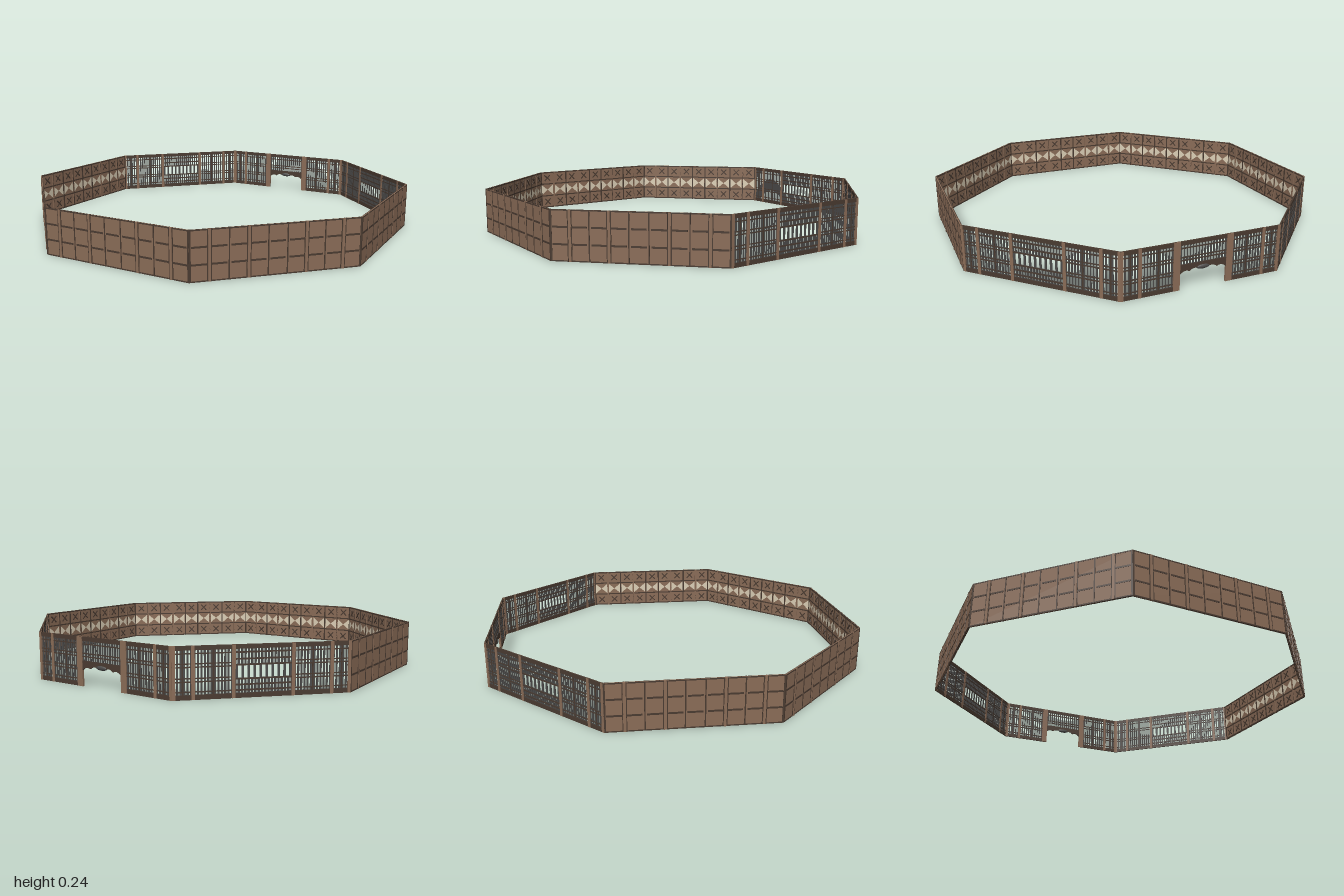
import * as THREE from 'three';
import { mergeGeometries } from 'three/addons/utils/BufferGeometryUtils.js';

const APOTHEM = 0.99, HALF = 0.411, H = 0.24, N = 9, CELL = (2 * HALF) / N, ROW = H / 3;
const POSTS = [-0.319, -0.137, 0.137, 0.319];
const mat = (color, side = THREE.FrontSide) => new THREE.MeshStandardMaterial({ color, side });
const brown = mat(0x8a6c57), dark = mat(0x4a3b31), iron = mat(0x4b4a49), cream = mat(0xdccfb6, THREE.DoubleSide);

// box centred at (x, y, z); the wall plane is z = 0 and outside is +z
function box(w, h, d, x, y, z = 0, turn = 0) {
  return new THREE.BoxGeometry(w, h, d).rotateZ(turn).translate(x, y, z);
}

function add(group, name, material, geometries) {
  const mesh = new THREE.Mesh(mergeGeometries(geometries), material);
  mesh.name = name;
  group.add(mesh);
}

// panel border positions, left to right
const borders = Array.from({ length: N + 1 }, (_, i) => -HALF + i * CELL);
const centres = borders.slice(0, N).map((x) => x + CELL / 2);

function triangle(a, b, c) {
  const g = new THREE.BufferGeometry();
  g.setAttribute('position', new THREE.Float32BufferAttribute([...a, ...b, ...c], 3));
  g.computeVertexNormals();
  return g;
}

function solidWall() {
  const wall = new THREE.Group();
  wall.name = 'solidWall';
  add(wall, 'panel', brown, [box(2 * HALF, H, 0.005, 0, H / 2)]);

  // outside: seams, short rails and slim posts
  const trim = [], inner = [], crosses = [], bows = [];
  for (const x of borders.slice(1, N)) trim.push(box(0.006, H, 0.002, x, H / 2, 0.003));
  for (const x of centres) {
    for (const y of [ROW, 2 * ROW]) trim.push(box(CELL * 0.78, 0.009, 0.002, x, y, 0.003));
  }
  for (const y of [0.003, H - 0.003]) trim.push(box(2 * HALF, 0.006, 0.007, 0, y));
  for (const s of [-1, 1]) trim.push(box(0.008, H, 0.007, s * (HALF - 0.004), H / 2));
  for (const x of POSTS) {
    for (const s of [-1, 1]) trim.push(box(0.004, H, 0.003, x + s * 0.009, H / 2, 0.003));
  }
  add(wall, 'outerTrim', dark, trim);
  add(wall, 'post', brown, POSTS.map((x) => box(0.012, H, 0.012, x, H / 2)));

  // inside: grid, crossed braces above and below, pale bow ties in the middle row
  for (const x of borders) inner.push(box(0.008, H, 0.004, x, H / 2, -0.004));
  for (const y of [0.004, ROW, 2 * ROW, H - 0.004]) inner.push(box(2 * HALF, 0.007, 0.004, 0, y, -0.004));
  for (const x of centres) {
    for (const y of [ROW / 2, H - ROW / 2]) {
      for (const t of [-1, 1]) crosses.push(box(0.055, 0.007, 0.003, x, y, -0.0035, t * Math.PI / 4));
    }
    for (const s of [-1, 1]) {
      const e = x + s * (CELL / 2 - 0.005);
      const corners = [[e, ROW + 0.006, -0.0035], [e, 2 * ROW - 0.006, -0.0035], [x, ROW * 1.5, -0.0045]];
      bows.push(triangle(...(s > 0 ? corners : [corners[1], corners[0], corners[2]])));
    }
  }
  add(wall, 'innerGrid', dark, inner);
  add(wall, 'crossBrace', dark, crosses);
  add(wall, 'bowTieInlay', cream, bows);
  return wall;
}

// bars filling x0..x1, y0..y1
function bars(x0, x1, y0, y1, step, width) {
  const n = Math.round((x1 - x0) / step), out = [];
  for (let i = 0; i < n; i++) {
    out.push(box(width, y1 - y0, 0.004, x0 + ((i + 0.5) * (x1 - x0)) / n, (y0 + y1) / 2));
  }
  return out;
}

function latticeWall(gate) {
  const wall = new THREE.Group();
  wall.name = gate ? 'gateWall' : 'latticeWall';
  const rails = [], grille = [], slim = [], open = 0.12;

  // side bays
  for (const s of [-1, 1]) {
    for (const [a, b] of [[0.137, 0.319], [0.319, HALF]]) {
      const [x0, x1] = s > 0 ? [a, b] : [-b, -a];
      grille.push(...bars(x0, x1, 0.02, 0.222, 0.0152, 0.0085));
      slim.push(box(0.007, H, 0.006, (x0 + x1) / 2, H / 2));
      for (const y of [0.035, 0.08, 0.095, 0.145, 0.16, 0.205]) {
        slim.push(box(x1 - x0, 0.005, 0.006, (x0 + x1) / 2, y));
      }
    }
    if (gate) rails.push(box(HALF - open, 0.022, 0.007, s * (HALF + open) / 2, 0.011));
  }
  rails.push(box(2 * HALF, 0.02, 0.007, 0, H - 0.01));

  // middle bay
  if (gate) {
    grille.push(...bars(-0.137, 0.137, 0.11, 0.222, 0.0152, 0.0085));
    for (const y of [0.145, 0.16, 0.205]) slim.push(box(0.274, 0.005, 0.006, 0, y));
  } else {
    rails.push(box(2 * HALF, 0.022, 0.007, 0, 0.011));
    grille.push(...bars(-0.137, 0.137, 0.02, 0.09, 0.0152, 0.0095));
    grille.push(...bars(-0.137, 0.137, 0.145, 0.222, 0.0152, 0.0095));
    grille.push(...bars(-0.137, 0.137, 0.09, 0.145, 0.0274, 0.011));
    for (const y of [0.035, 0.06, 0.086, 0.149, 0.175, 0.205]) slim.push(box(0.274, 0.007, 0.006, 0, y));
  }
  add(wall, 'rail', dark, rails);
  add(wall, 'grilleBar', iron, grille);
  add(wall, 'crossBar', dark, slim);
  add(wall, 'post', brown, POSTS.map((x) => box(gate && Math.abs(x) < 0.2 ? 0.034 : 0.016, H, 0.01, x, H / 2)));
  add(wall, 'endPost', brown, [-1, 1].map((s) => box(0.014, H, 0.008, s * (HALF - 0.007), H / 2)));

  if (gate) {
    // scalloped lintel over the opening
    const shape = new THREE.Shape();
    shape.moveTo(-open, 0.125);
    shape.lineTo(-open, 0.078);
    const lobes = 5, w = (2 * open) / lobes, lift = [0.078, 0.088, 0.094, 0.094, 0.088, 0.078];
    for (let i = 0; i < lobes; i++) {
      const x = -open + i * w;
      shape.quadraticCurveTo(x + w / 2, Math.max(lift[i], lift[i + 1]) + 0.014, x + w, lift[i + 1]);
    }
    shape.lineTo(open, 0.125);
    const lintel = new THREE.ExtrudeGeometry(shape, { depth: 0.007, bevelEnabled: false, curveSegments: 6 });
    add(wall, 'scallopedLintel', dark, [lintel.translate(0, 0, -0.0035)]);
    // rounded boss at the crown
    const boss = new THREE.SphereGeometry(1, 16, 10).scale(0.035, 0.012, 0.009);
    add(wall, 'boss', iron, [boss.translate(0, 0.1, 0)]);
  }
  return wall;
}

export function createModel() {
  const model = new THREE.Group();
  model.name = 'octagonalEnclosure';
  // k counts eighth turns from the front; 3 to 5 are the open back sides
  for (let k = 0; k < 8; k++) {
    const wall = k >= 3 && k <= 5 ? latticeWall(k === 4) : solidWall();
    wall.children.forEach((part) => part.position.setZ(APOTHEM));
    wall.rotation.y = (k * Math.PI) / 4;
    model.add(wall);
  }
  return model;
}
